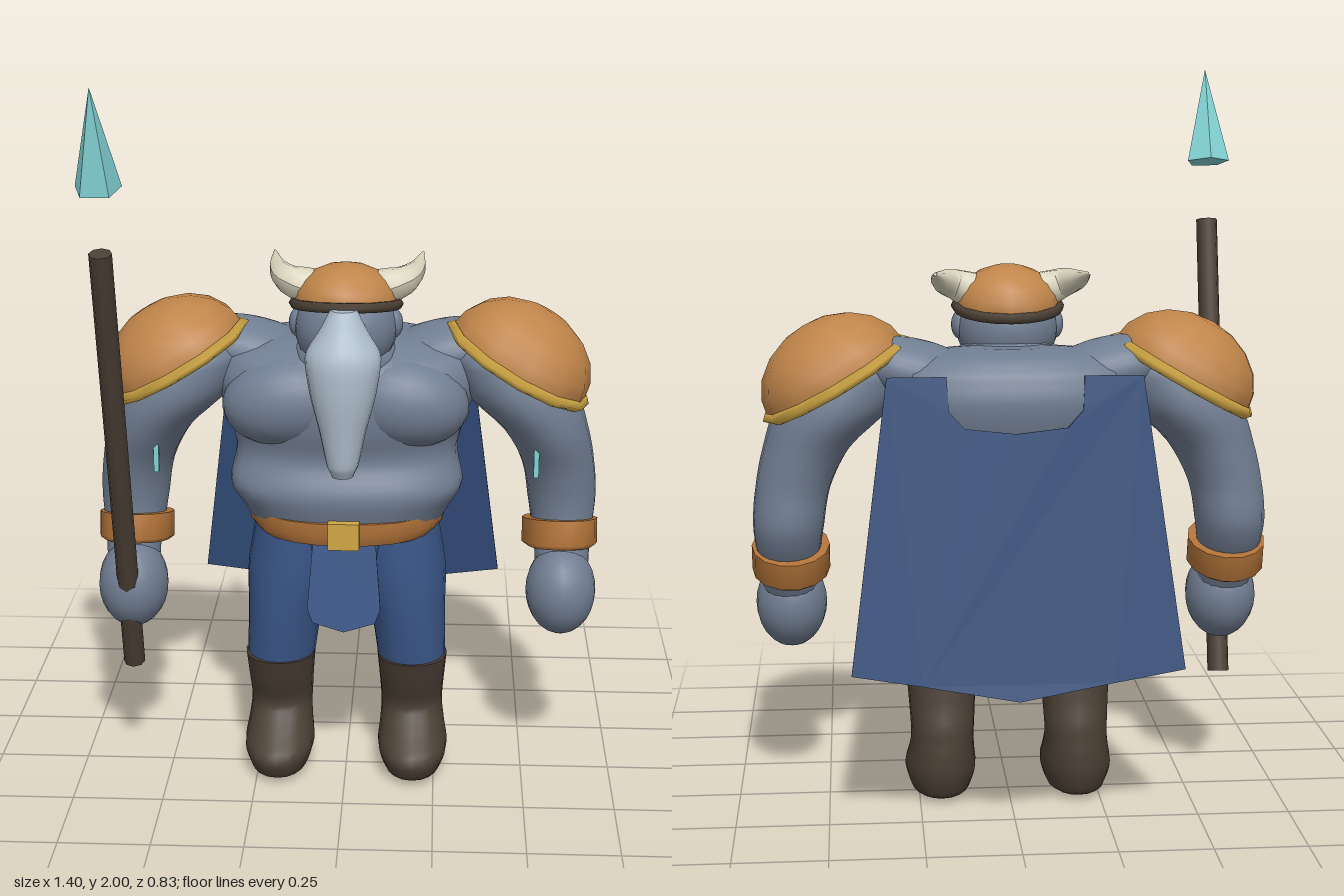
import * as THREE from 'three';

const mat = (name, color, side = THREE.FrontSide) => {
  const m = new THREE.MeshStandardMaterial({ color, side });
  m.name = name;
  return m;
};

// Smooth body from horizontal sections [cx, cy, cz, rx, rz], listed from low to high
function loft(sections, { seg = 20, steps = 4, power = 2 } = {}) {
  const centre = new THREE.CatmullRomCurve3(sections.map(s => new THREE.Vector3(s[0], s[1], s[2])));
  const radius = new THREE.CatmullRomCurve3(sections.map(s => new THREE.Vector3(s[3], s[4], 0)));
  const rows = (sections.length - 1) * steps;
  const pos = [], idx = [];
  const bulge = v => Math.sign(v) * Math.abs(v) ** (2 / power);
  const ring = t => {
    const c = centre.getPoint(t), r = radius.getPoint(t);
    for (let j = 0; j < seg; j++) {
      const a = j / seg * Math.PI * 2;
      pos.push(c.x + Math.max(r.x, 0) * bulge(Math.cos(a)), c.y, c.z + Math.max(r.y, 0) * bulge(Math.sin(a)));
    }
    return c;
  };
  for (let i = 0; i <= rows; i++) ring(i / rows);
  for (let i = 0; i < rows; i++) for (let j = 0; j < seg; j++) {
    const a = i * seg + j, b = i * seg + (j + 1) % seg;
    idx.push(a, a + seg, b, b, a + seg, b + seg);
  }
  // flat end caps
  for (const t of [0, 1]) {
    const start = pos.length / 3, c = ring(t);
    pos.push(c.x, c.y, c.z);
    for (let j = 0; j < seg; j++) {
      const a = start + j, b = start + (j + 1) % seg;
      t ? idx.push(start + seg, b, a) : idx.push(start + seg, a, b);
    }
  }
  const g = new THREE.BufferGeometry();
  g.setAttribute('position', new THREE.Float32BufferAttribute(pos, 3));
  g.setIndex(idx);
  g.computeVertexNormals();
  return g;
}

// Tube narrowing from r0 to r1 along its path, staying full near the base
function taperedTube(points, r0, r1) {
  const curve = new THREE.CatmullRomCurve3(points.map(p => new THREE.Vector3(...p)));
  const n = 12, k = 10, g = new THREE.TubeGeometry(curve, n, r0, k, false), p = g.attributes.position;
  const v = new THREE.Vector3();
  for (let i = 0; i <= n; i++) {
    const c = curve.getPointAt(i / n), f = 1 + (r1 / r0 - 1) * (i / n) ** 1.1;
    for (let j = 0; j <= k; j++) {
      const q = i * (k + 1) + j;
      v.fromBufferAttribute(p, q).sub(c).multiplyScalar(f).add(c);
      p.setXYZ(q, v.x, v.y, v.z);
    }
  }
  g.computeVertexNormals();
  return g;
}

const plate = (pts, depth) => new THREE.ExtrudeGeometry(
  new THREE.Shape(pts.map(p => new THREE.Vector2(...p))), { depth, bevelEnabled: false });
const flat = g => { const f = g.toNonIndexed(); f.computeVertexNormals(); return f; };

export function createModel() {
  const model = new THREE.Group();
  model.name = 'hornedWarrior';
  const skin = mat('skin', 0x717e92), beardMat = mat('beardGrey', 0xaebccb);
  const cloth = mat('trouserBlue', 0x3a5688), capeMat = mat('capeBlue', 0x334e7b);
  const dark = mat('darkBrown', 0x4a3f34), bronze = mat('bronze', 0xc0854a, THREE.DoubleSide);
  const leather = mat('leather', 0xb07238, THREE.DoubleSide), gold = mat('gold', 0xd0a744);
  const hornMat = mat('horn', 0xd8d3bc), crystal = mat('crystal', 0x84d4d7);

  const add = (name, geo, material, pos = [0, 0, 0], rot = [0, 0, 0], scale = [1, 1, 1]) => {
    const m = new THREE.Mesh(geo, material);
    m.name = name;
    m.position.set(...pos);
    m.rotation.set(...rot);
    m.scale.set(...scale);
    model.add(m);
  };
  const ball = new THREE.SphereGeometry(1, 20, 14);
  const dome = new THREE.SphereGeometry(1, 12, 5, 0, Math.PI * 2, 0, Math.PI / 2);

  // Torso and hips
  add('torso', loft([
    [0, .73, -.05, .25, .18], [0, .8, -.03, .285, .185], [0, .87, -.015, .32, .18],
    [0, .95, -.04, .305, .17], [0, 1.05, -.065, .33, .215], [0, 1.15, -.075, .365, .225],
    [0, 1.22, -.085, .35, .195], [0, 1.26, -.1, .24, .14], [0, 1.275, -.11, .1, .06]],
    { seg: 28, power: 2.25 }), skin);
  add('hips', loft([[0, .55, -.04, .07, .1], [0, .62, -.045, .2, .145], [0, .75, -.06, .25, .18]]), cloth);

  // Belt, buckle and hanging cloths
  add('belt', loft([[0, .73, -.045, .245, .2], [0, .76, -.055, .272, .222], [0, .795, -.05, .268, .215]],
    { seg: 24, steps: 1, power: 2.3 }), leather);
  add('buckle', new THREE.BoxGeometry(.085, .075, .03), gold, [0, .765, .165]);
  const flap = [[-.085, 0], [-.1, -.19], [-.085, -.23], [0, -.255], [.085, -.23], [.1, -.19], [.085, 0]].reverse();
  add('frontCloth', plate(flap, .014), cloth, [0, .735, .117], [-.17, 0, 0]);
  add('backCloth', plate(flap, .014), cloth, [0, .755, -.245], [.15, 0, 0]);

  // Cape with a rounded neck cut and a shallow centre fold
  const cape = plate([[-.335, 0], [-.435, -.77], [-.25, -.8], [0, -.845], [.25, -.8], [.435, -.77], [.335, 0],
    [.18, 0], [.175, -.09], [.135, -.135], [0, -.15], [-.135, -.135], [-.175, -.09], [-.18, 0]], .015);
  const cp = cape.attributes.position;
  for (let i = 0; i < cp.count; i++) cp.setZ(i, cp.getZ(i) + .06 * cp.getX(i) ** 2);
  cape.computeVertexNormals();
  add('cape', cape, capeMat, [0, 1.22, -.272], [.175, 0, 0]);

  // Head, beard and helmet
  add('head', ball, skin, [0, 1.31, .025], [0, 0, 0], [.138, .13, .13]);
  add('neck', ball, skin, [0, 1.22, 0], [0, 0, 0], [.15, .09, .14]);
  add('beard', loft([[0, .955, .225, .028, .025], [0, .985, .22, .042, .046], [0, 1.07, .213, .06, .062],
    [0, 1.18, .205, .088, .08], [0, 1.27, .192, .1, .088], [0, 1.34, .168, .062, .074],
    [0, 1.39, .15, .035, .04]], { seg: 16 }), beardMat);
  add('helmet', dome, bronze, [0, 1.375, .012], [-.13, 0, 0], [.143, .108, .14]);
  add('helmetBrim', new THREE.TorusGeometry(.139, .015, 6, 20), dark, [0, 1.372, .012], [Math.PI / 2 - .15, 0, 0]);

  for (const s of [1, -1]) {
    const side = s > 0 ? 'left' : 'right';

    add(side + 'Horn', taperedTube([[s * .1, 1.415, .005], [s * .15, 1.432, .005],
      [s * .185, 1.448, -.06], [s * .203, 1.474, -.16]], .05, .003), hornMat);
    add(side + 'Ear', ball, skin, [s * .128, 1.32, .02], [0, 0, 0], [.025, .04, .03]);
    add(side + 'Chest', ball, skin, [s * .155, 1.11, .045], [0, 0, -s * .15], [.18, .125, .118]);
    add(side + 'UpperBack', ball, skin, [s * .25, 1.21, -.1], [0, 0, s * .25], [.2, .085, .125]);

    // Arm, hand, cuff and arm crystal
    add(side + 'Arm', loft([
      [s * .597, .55, .01, .075, .08], [s * .6, .64, -.035, .075, .085], [s * .6, .72, -.08, .085, .1],
      [s * .598, .8, -.1, .095, .115], [s * .585, .9, -.09, .1, .122], [s * .545, 1.01, -.072, .118, .148],
      [s * .47, 1.12, -.07, .155, .17], [s * .42, 1.22, -.07, .14, .15], [s * .4, 1.28, -.07, .04, .04]]), skin);
    add(side + 'Hand', ball, skin, [s * .597, .558, .01], [-.1, 0, 0], [.097, .125, .112]);
    add(side + 'Cuff', loft([[0, -.042, 0, .088, .112], [0, -.03, 0, .105, .13], [0, .04, 0, .105, .126]],
      { seg: 14, steps: 1 }), leather, [s * .594, .7, -.07], [-.25, 0, 0]);
    add(side + 'ArmCrystal', new THREE.BoxGeometry(.014, .08, .02), crystal, [s * .518, .938, .04]);

    // Shoulder armour
    add(side + 'ShoulderPlate', dome, bronze, [s * .466, 1.187, -.07], [0, 0, -s * .52], [.21, .168, .212]);
    add(side + 'ShoulderTrim', new THREE.TorusGeometry(.21, .016, 4, 12).rotateX(Math.PI / 2), gold,
      [s * .466, 1.187, -.07], [0, 0, -s * .52]);

    // Leg and boot
    add(side + 'Leg', loft([[s * .186, .33, -.01, .094, .1], [s * .172, .48, -.025, .105, .132],
      [s * .148, .62, -.045, .128, .158], [s * .132, .75, -.06, .122, .17]]), cloth);
    add(side + 'Boot', loft([[s * .19, .004, .01, .045, .085], [s * .19, .025, .01, .08, .138],
      [s * .19, .08, .008, .098, .157], [s * .188, .14, -.025, .091, .127], [s * .186, .2, -.048, .087, .098],
      [s * .186, .28, -.025, .092, .102], [s * .186, .355, -.006, .098, .107]], { power: 2.15 }), dark);
  }

  // Spear: leaning shaft with a floating crystal point
  const lean = Math.atan(.25);
  add('spearShaft', new THREE.CylinderGeometry(.03, .03, 1.29, 8), dark, [-.6, .95, .185], [lean, 0, 0]);
  add('spearPoint', flat(new THREE.ConeGeometry(.062, .268, 5, 1, false, Math.PI)), crystal,
    [-.6, 1.87, .378], [lean, 0, 0]);

  return model;
}
